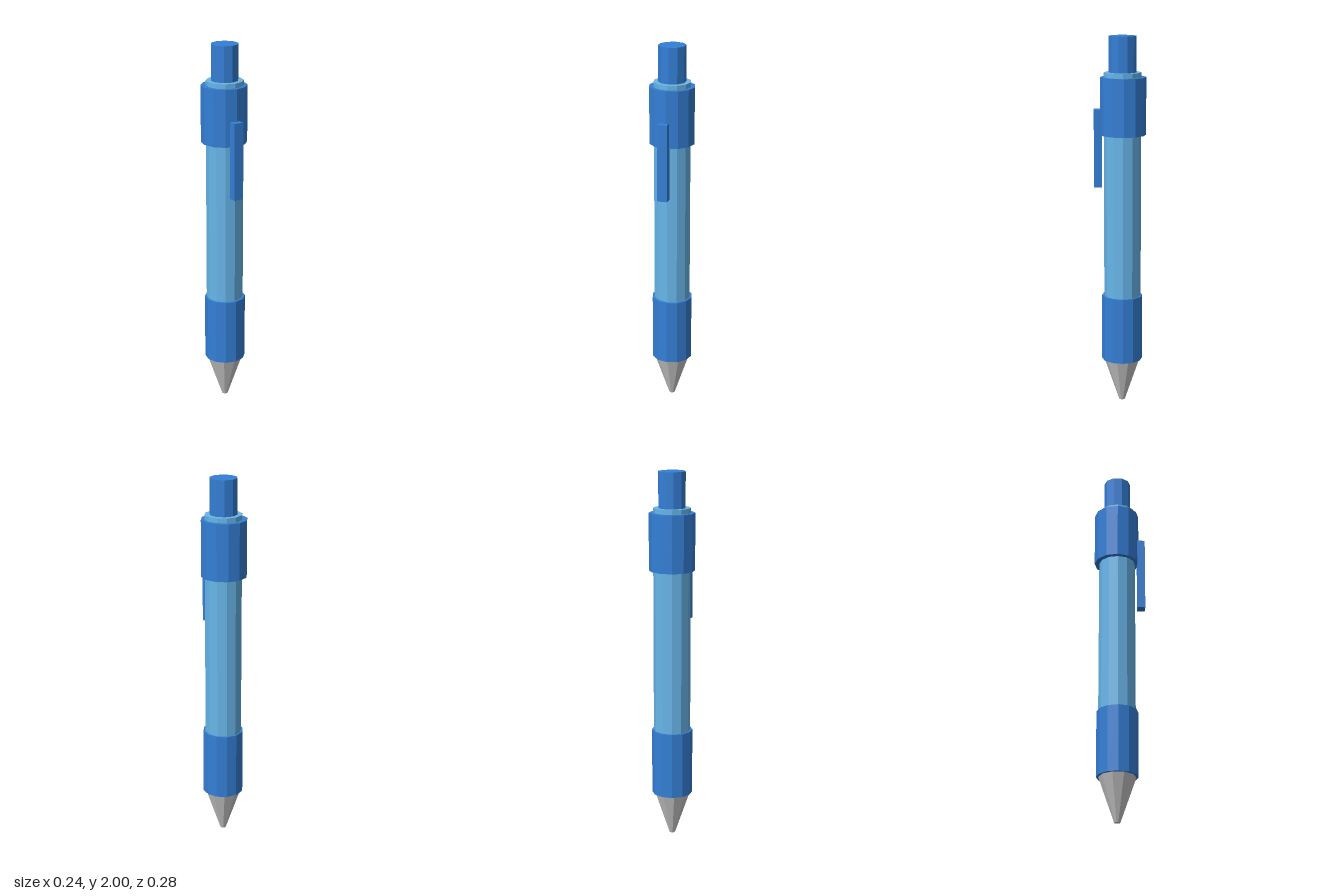
import * as THREE from 'three';

export function createModel() {
  const pen = new THREE.Group();
  pen.name = 'pen';

  const material = (color) => new THREE.MeshStandardMaterial({ color, flatShading: true });
  const darkBlue = material(0x347fd6);
  const lightBlue = material(0x68b6ea);
  const grey = material(0xcccccc);

  const add = (name, geometry, mat, x, y, z) => {
    const mesh = new THREE.Mesh(geometry, mat);
    mesh.name = name;
    mesh.position.set(x, y, z);
    pen.add(mesh);
  };

  // Faceted round section between two heights
  const section = (name, mat, rTop, rBottom, y0, y1, sides, x, z) =>
    add(name, new THREE.CylinderGeometry(rTop, rBottom, y1 - y0, sides), mat, x, (y0 + y1) / 2, z);

  // Body, from the writing end up
  section('tip', grey, 0.1, 0.016, 0, 0.245, 10, 0.002, -0.012);
  section('grip', darkBlue, 0.11, 0.11, 0.24, 0.6, 12, 0.002, -0.012);
  section('barrel', lightBlue, 0.099, 0.099, 0.3, 1.81, 12, 0.002, -0.014);
  section('collar', darkBlue, 0.122, 0.122, 1.48, 1.785, 12, 0, -0.017);
  section('pushButton', darkBlue, 0.073, 0.073, 1.78, 2, 10, 0.002, -0.014);

  // Pocket clip on the front, tucked into the collar
  add('clip', new THREE.BoxGeometry(0.054, 0.415, 0.042), darkBlue, -0.01, 1.407, 0.117);

  return pen;
}
